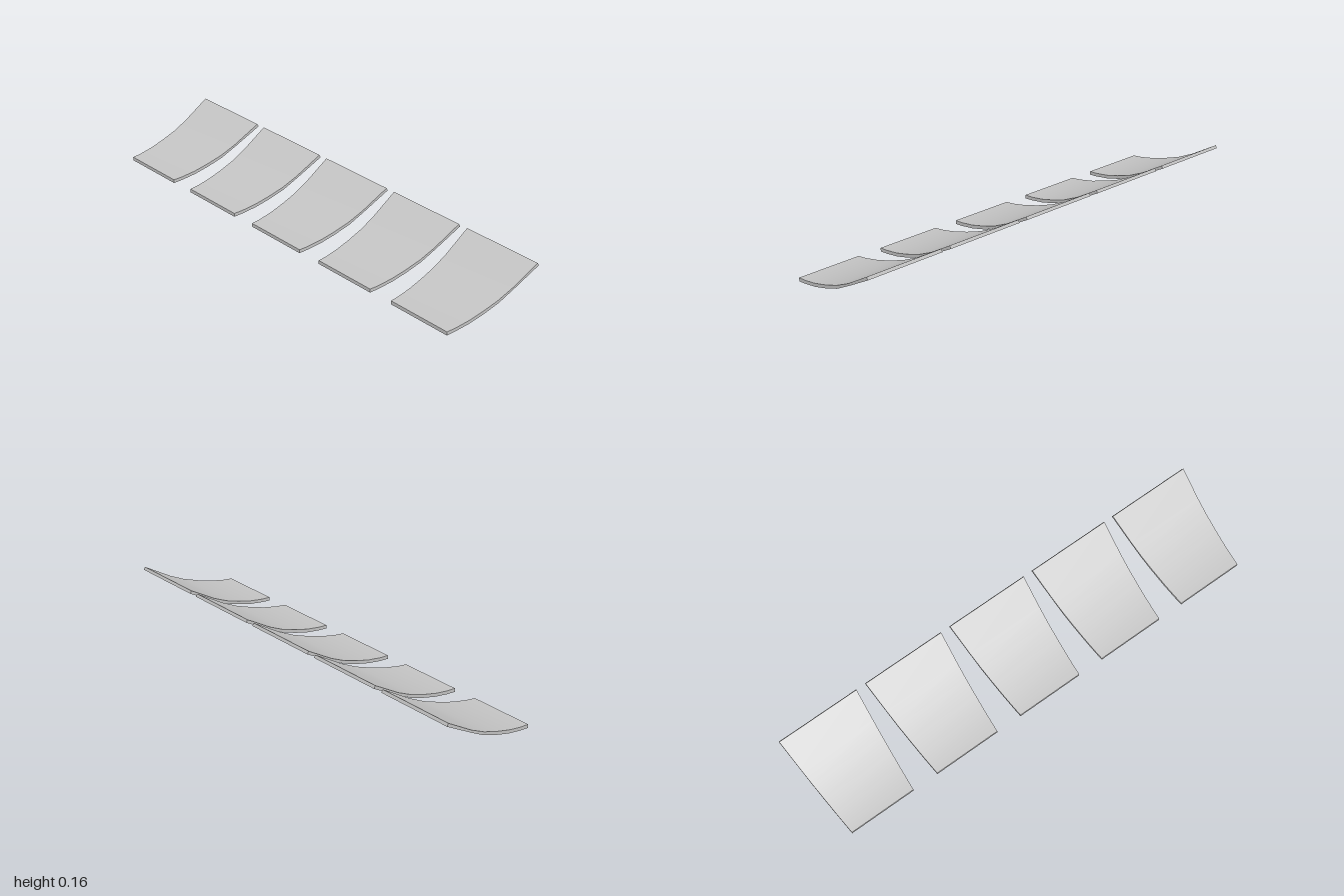
import * as THREE from 'three';

// Side profile from front edge to back edge: [z, y] of the lower and upper skin
const lower = [[0.218, 0], [0.177, 0.003], [0.112, 0.012], [0.045, 0.028], [-0.026, 0.05], [-0.095, 0.083], [-0.217, 0.145]];
const upper = [[0.218, 0.015], [0.177, 0.017], [0.113, 0.026], [0.049, 0.041], [-0.022, 0.062], [-0.09, 0.091], [-0.211, 0.157]];

const FRONT_HALF = 0.147, BACK_HALF = 0.183, SPACING = 0.4085;

// Curved slat: a segmented box bent to the profile, widening to the back
function slatGeometry() {
  const n = lower.length - 1;
  const geo = new THREE.BoxGeometry(2, 1, 1, 1, 1, n);
  const p = geo.attributes.position;
  for (let i = 0; i < p.count; i++) {
    const row = Math.round((0.5 - p.getZ(i)) * n);
    const [z, y] = (p.getY(i) > 0 ? upper : lower)[row];
    const half = THREE.MathUtils.mapLinear(z, 0.218, -0.217, FRONT_HALF, BACK_HALF);
    p.setXYZ(i, Math.sign(p.getX(i)) * half, y, z);
  }
  geo.computeVertexNormals();
  return geo;
}

export function createModel() {
  const model = new THREE.Group();
  model.name = 'curvedSlats';
  const grey = new THREE.MeshStandardMaterial({ color: 0xc4c4c4 });
  grey.name = 'light grey';
  const geo = slatGeometry();

  // Row of five identical slats
  for (let i = -2; i <= 2; i++) {
    const slat = new THREE.Mesh(geo, grey);
    slat.name = `slat${i + 3}`;
    slat.position.x = i * SPACING;
    model.add(slat);
  }
  return model;
}
